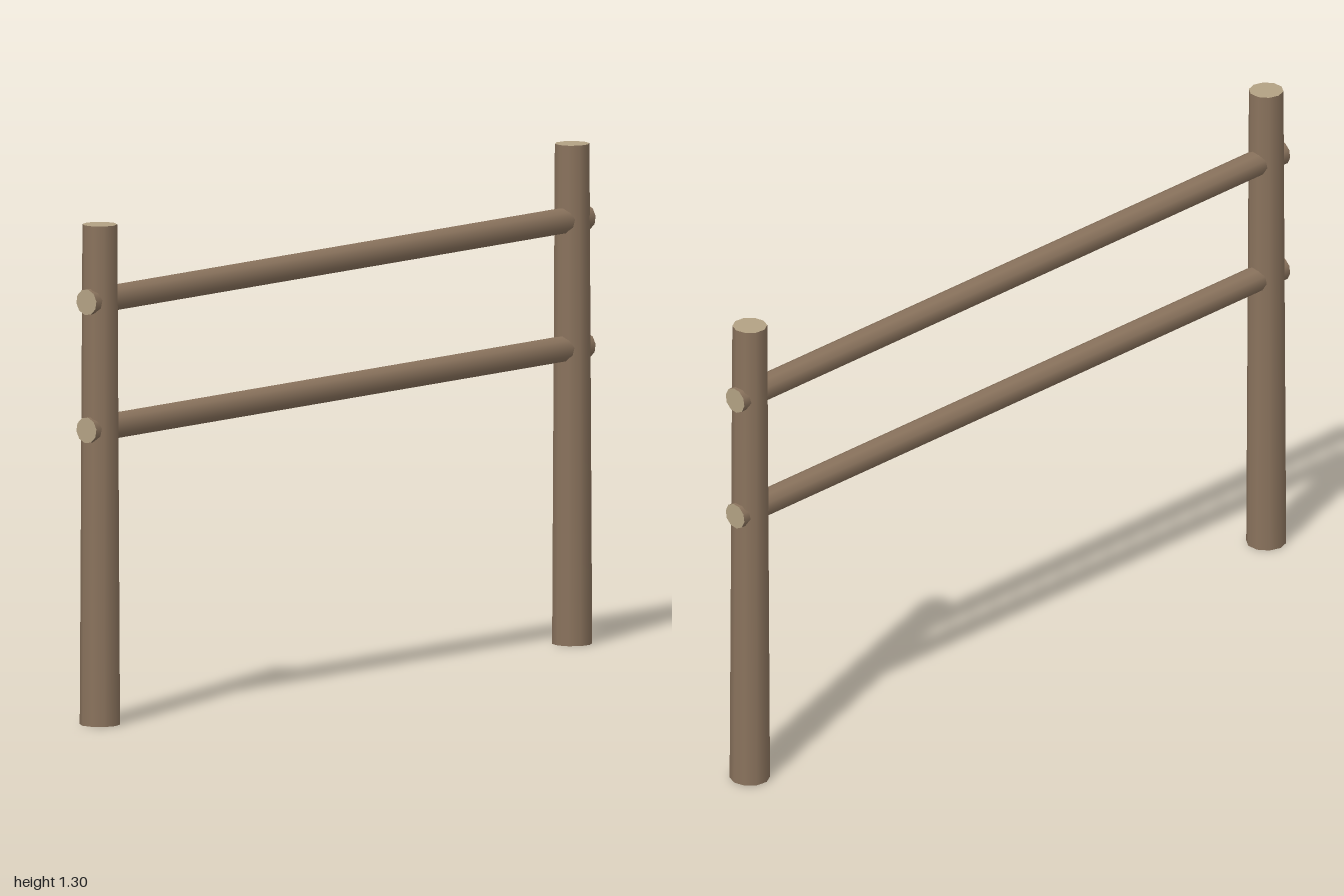
import * as THREE from 'three';

export function createModel() {
  const model = new THREE.Group();
  const bark = new THREE.MeshStandardMaterial({ color: 0x8a735d });
  const cutWood = new THREE.MeshStandardMaterial({ color: 0xb3a284 });

  // A log with bark sides and pale sawn ends
  function log(name, topRadius, bottomRadius, length, turn) {
    const geometry = new THREE.CylinderGeometry(topRadius, bottomRadius, length, 10);
    geometry.rotateY(turn);
    const mesh = new THREE.Mesh(geometry, [bark, cutWood, cutWood]);
    mesh.name = name;
    model.add(mesh);
    return mesh;
  }

  // Upright posts, slightly thicker at the foot
  for (const side of [-1, 1]) {
    const post = log(side > 0 ? 'leftPost' : 'rightPost', 0.045, 0.052, 1.3, side > 0 ? 0.2 : 0);
    post.position.set(side * 0.946, 0.65, 0);
  }

  // Two rails running through both posts
  for (const [name, y] of [['lowerRail', 0.77], ['upperRail', 1.103]]) {
    const rail = log(name, 0.034, 0.034, 2, 0.15);
    rail.rotation.z = Math.PI / 2;
    rail.position.y = y;
  }

  return model;
}
